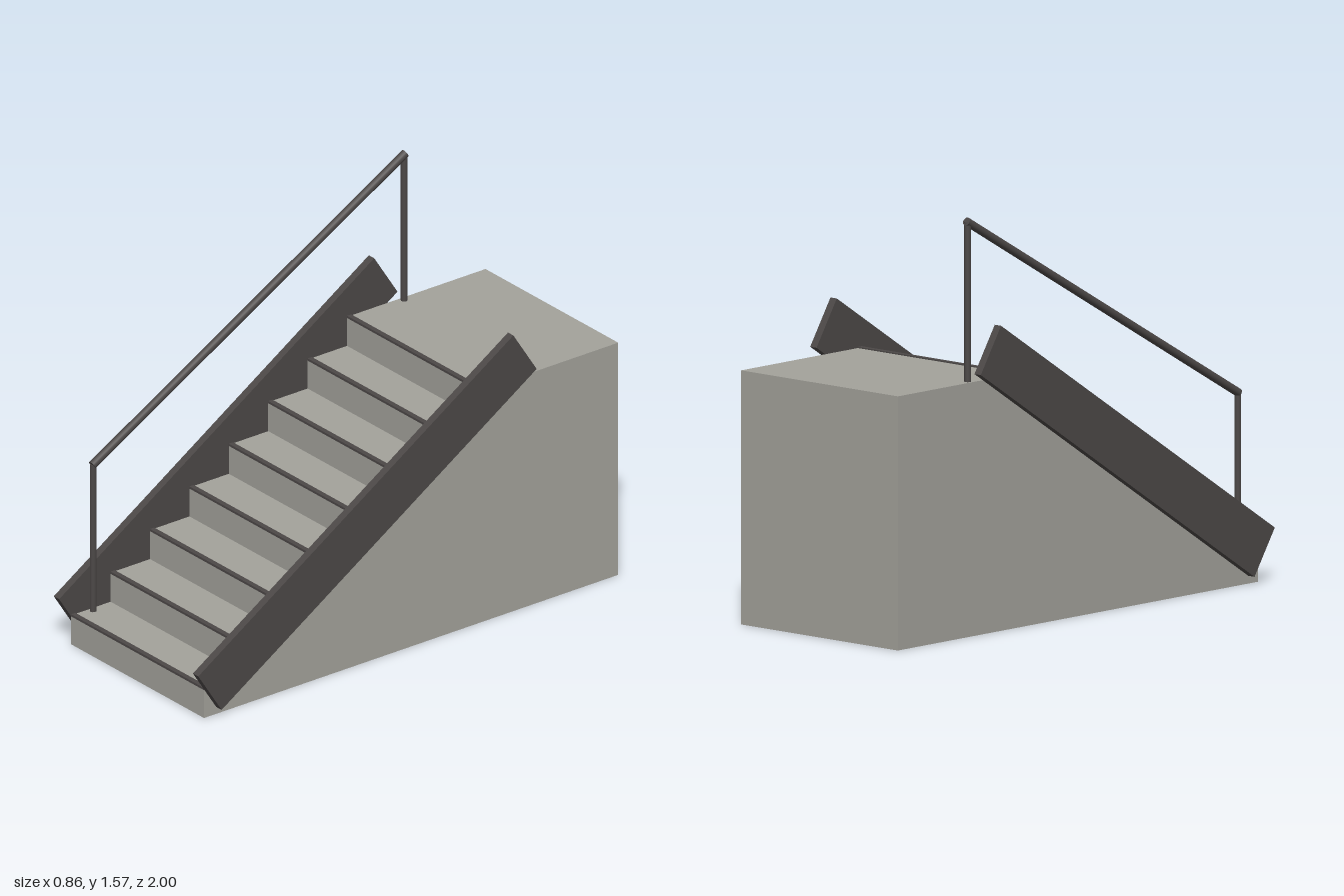
import * as THREE from 'three';

export function createModel() {
  const model = new THREE.Group();
  model.name = 'staircase';
  const concrete = new THREE.MeshStandardMaterial({ name: 'warm grey concrete', color: 0xa3a29b });
  const metal = new THREE.MeshStandardMaterial({ name: 'dark metal', color: 0x4c4847 });

  const STEPS = 8, RISE = 0.119, RUN = 0.185, FRONT = 0.945, WIDTH = 0.79;

  function add(name, geometry, material, x, y, z) {
    const mesh = new THREE.Mesh(geometry, material);
    mesh.name = name;
    mesh.position.set(x, y, z);
    model.add(mesh);
    return mesh;
  }

  // Round bar between two points
  function bar(name, a, b, radius) {
    const dir = b.clone().sub(a);
    const mid = a.clone().add(b).multiplyScalar(0.5);
    const mesh = add(name, new THREE.CylinderGeometry(radius, radius, dir.length(), 16), metal, mid.x, mid.y, mid.z);
    mesh.quaternion.setFromUnitVectors(new THREE.Vector3(0, 1, 0), dir.normalize());
  }

  // Solid steps, each with a dark nosing strip
  for (let i = 0; i < STEPS; i++) {
    const h = RISE * (i + 1), z = FRONT - RUN * i;
    add('step' + (i + 1), new THREE.BoxGeometry(WIDTH, h, RUN), concrete, 0, h / 2, z - RUN / 2);
    add('nosing' + (i + 1), new THREE.BoxGeometry(WIDTH, 0.009, 0.02), metal, 0, h, z - 0.0095);
  }

  // Landing block behind the top step
  const top = RISE * STEPS, landingFront = FRONT - RUN * STEPS, depth = landingFront + 1;
  add('landing', new THREE.BoxGeometry(WIDTH, top, depth), concrete, 0, top / 2, landingFront - depth / 2);

  // Sloping side boards
  for (const side of [-1, 1]) {
    const board = add(side < 0 ? 'rightStringer' : 'leftStringer',
      new THREE.BoxGeometry(0.032, 0.2025, 1.759), metal, side * 0.414, 0.591, 0.205);
    board.rotation.x = Math.atan2(RISE, RUN);
  }

  // Handrail on one side only
  const railX = -0.375;
  const point = (y, z) => new THREE.Vector3(railX, y, z);
  bar('lowerPost', point(RISE, 0.858), point(0.72, 0.858), 0.0125);
  bar('upperPost', point(top, -0.602), point(1.55, -0.602), 0.0125);
  bar('handrail', point(0.717, 0.862), point(1.553, -0.608), 0.016);

  return model;
}
